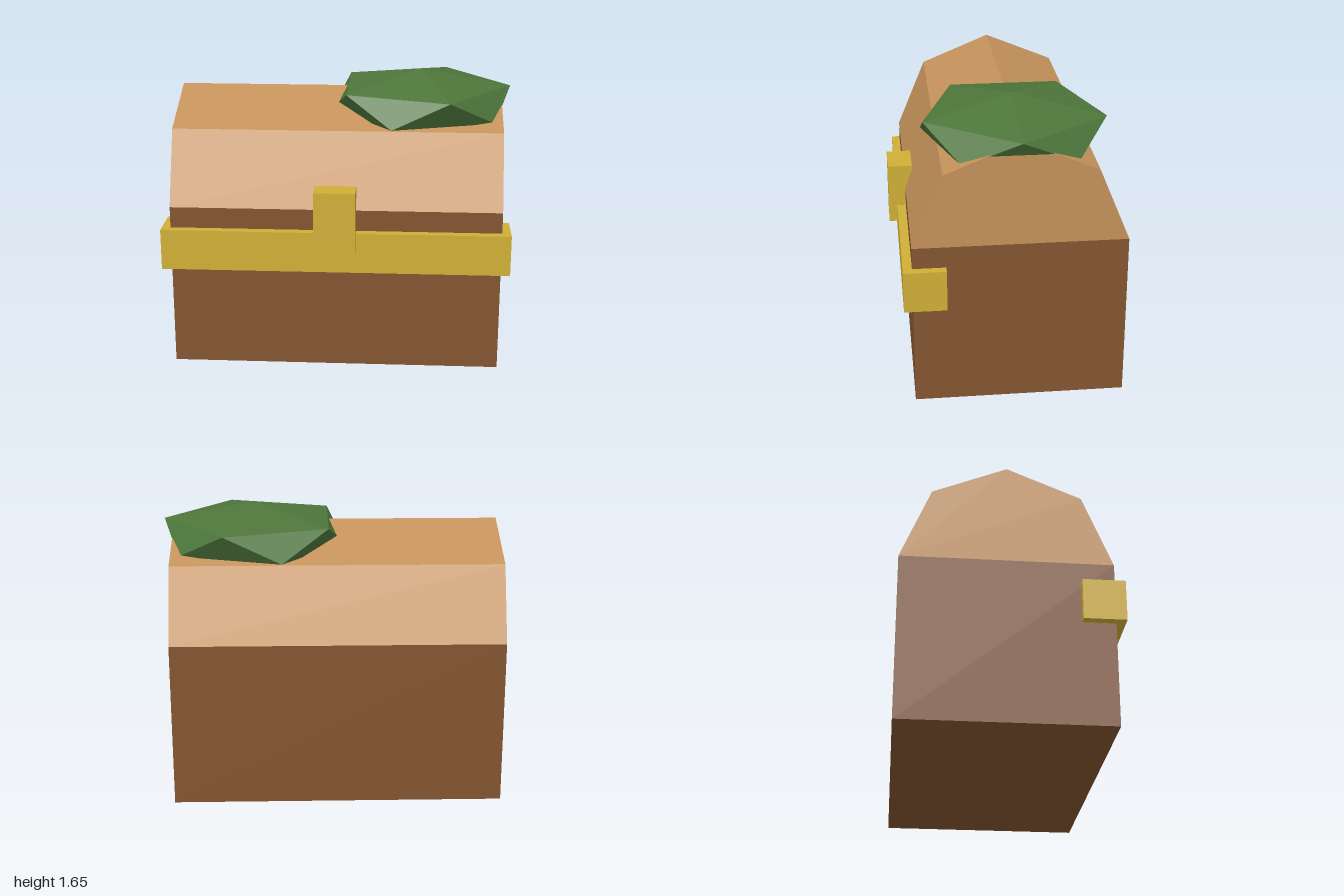
import * as THREE from 'three';

const paint = (name, color) => {
  const m = new THREE.MeshStandardMaterial({ color, flatShading: true });
  m.name = name;
  return m;
};

export function createModel() {
  const chest = new THREE.Group();
  chest.name = 'chest';

  const darkWood = paint('dark wood', 0x835530);
  const lightWood = paint('light wood', 0xc4925a);
  const brass = paint('brass', 0xd0af36);
  const moss = paint('moss green', 0x4e763b);

  const add = (name, geometry, material, x, y, z) => {
    const mesh = new THREE.Mesh(geometry, material);
    mesh.name = name;
    mesh.position.set(x, y, z);
    chest.add(mesh);
    return mesh;
  };

  const length = 1.89, radius = 0.59, wallHeight = 0.95;
  const midX = -0.005, midZ = -0.05;

  // Box body
  add('body', new THREE.BoxGeometry(length, wallHeight, radius * 2), darkWood, midX, wallHeight / 2, midZ);

  // Lid: half an octagonal prism along x
  const profile = new THREE.Shape();
  for (let i = 0; i <= 4; i++) {
    const a = (i * Math.PI) / 4;
    const u = radius * Math.cos(a), v = radius * Math.sin(a);
    if (i === 0) profile.moveTo(u, v);
    else profile.lineTo(u, v);
  }
  const lidGeometry = new THREE.ExtrudeGeometry(profile, { depth: length, bevelEnabled: false });
  lidGeometry.translate(0, 0, -length / 2).rotateY(Math.PI / 2);
  add('lid', lidGeometry, lightWood, midX, wallHeight, midZ);

  // Brass band and clasp on the front
  add('band', new THREE.BoxGeometry(1.99, 0.236, 0.236), brass, midX, 0.711, 0.473);
  add('clasp', new THREE.BoxGeometry(0.236, 0.354, 0.142), brass, midX, 0.903, 0.569);

  // Flattened icosahedron of moss, turned to stand on a corner, sunk into the lid
  const clump = new THREE.IcosahedronGeometry(1, 0);
  clump.rotateZ(-Math.atan(2 / (1 + Math.sqrt(5)))).scale(0.59, 0.174, 0.59);
  add('mossClump', clump, moss, 0.468, 1.473, midZ);

  return chest;
}
